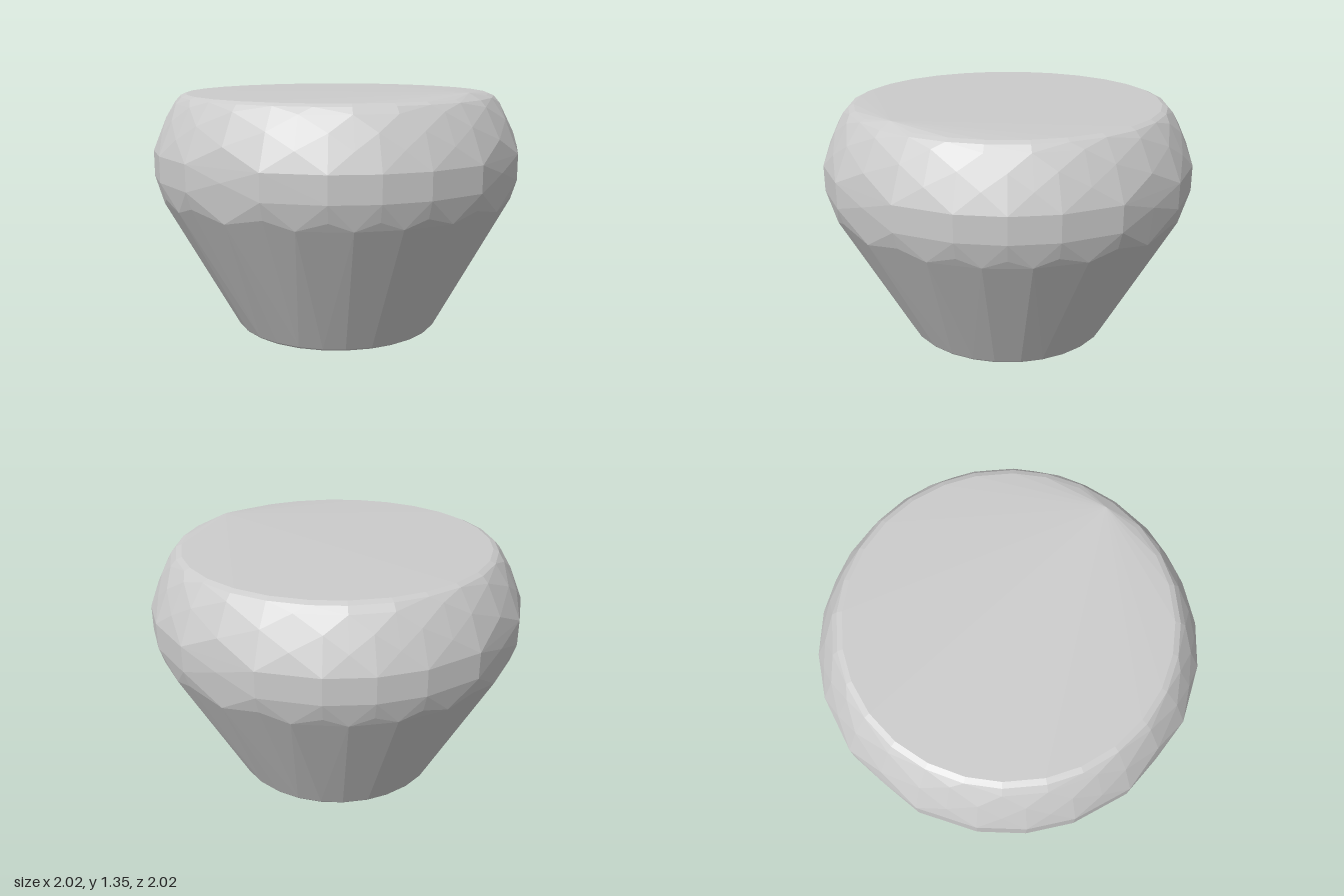
import * as THREE from 'three';
import { ConvexGeometry } from 'three/addons/geometries/ConvexGeometry.js';

// Corner angles in degrees, repeated in every quadrant
const WIDE = [13, 31, 45, 59, 77];
const OFFSET = [0, 22, 38, 52, 68];
const FINE = [0, 13, 26, 38, 52, 64, 77];

// Rings of the faceted body, from foot to rim: radius, height, corner angles
const RINGS = [
  [0.575, 0, FINE],
  [0.585, 0.01, FINE],
  [0.985, 0.745, OFFSET],
  [0.998, 0.79, WIDE],
  [1.026, 0.88, WIDE],
  [1.008, 0.95, OFFSET],
  [1.026, 1.02, WIDE],
  [0.985, 1.12, OFFSET],
  [0.952, 1.2, WIDE],
  [0.905, 1.28, OFFSET],
  [0.875, 1.313, FINE],
  [0.845, 1.326, FINE],
];

function ringPoints([radius, height, angles]) {
  const points = [];
  for (let quadrant = 0; quadrant < 4; quadrant++) {
    for (const angle of angles) {
      const a = THREE.MathUtils.degToRad(angle + quadrant * 90);
      points.push(new THREE.Vector3(Math.cos(a) * radius, height, Math.sin(a) * radius));
    }
  }
  return points;
}

export function createModel() {
  const group = new THREE.Group();
  group.name = 'facetedPot';

  // Closed body, with one raised point on the rim that tips the lid slightly
  const points = RINGS.flatMap(ringPoints);
  points.push(new THREE.Vector3(0.81, 1.349, 0));

  const body = new THREE.Mesh(
    new ConvexGeometry(points),
    new THREE.MeshStandardMaterial({ color: 0xcccccc, flatShading: true })
  );
  body.name = 'body';
  group.add(body);
  return group;
}
